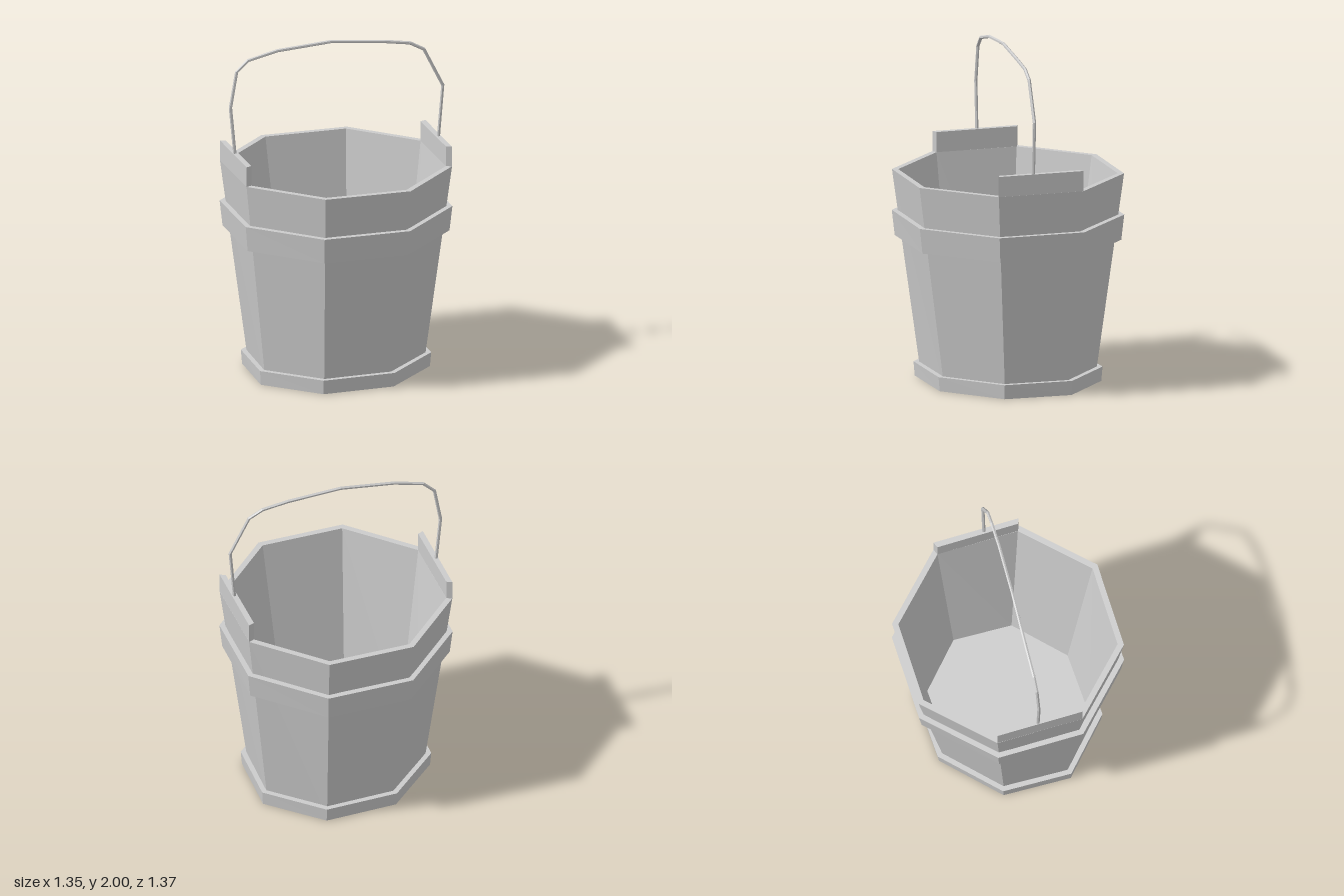
import * as THREE from 'three';

const material = new THREE.MeshStandardMaterial({ color: 0xcccccc, flatShading: true });

function addMesh(group, name, geometry) {
  const mesh = new THREE.Mesh(geometry, material);
  mesh.name = name;
  group.add(mesh);
  return mesh;
}

// Eight-sided turned part; slightly longer in z towards the bottom
function octagon(profile) {
  const geometry = new THREE.LatheGeometry(profile.map(([r, y]) => new THREE.Vector2(r, y)), 8);
  const p = geometry.attributes.position;
  for (let i = 0; i < p.count; i++) {
    const r = Math.hypot(p.getX(i), p.getZ(i));
    if (r > 0.001) p.setZ(i, p.getZ(i) * (1 + 0.05 * (1 - p.getY(i) / 1.35) / r));
  }
  geometry.computeVertexNormals();
  return geometry;
}

// Straight-segment path with mitred corners
class BentWire extends THREE.Curve {
  constructor(points) {
    super();
    this.points = points;
  }
  getPoint(t, target = new THREE.Vector3()) {
    const last = this.points.length - 1;
    const i = Math.min(Math.floor(t * last + 1e-6), last - 1);
    return target.lerpVectors(this.points[i], this.points[i + 1], t * last - i);
  }
  getPointAt(u, target) {
    return this.getPoint(u, target);
  }
  getTangentAt(u, target = new THREE.Vector3()) {
    const last = this.points.length - 1;
    const i = Math.round(u * last);
    const dir = (k) => this.points[k + 1].clone().sub(this.points[k]).normalize();
    return target.copy(dir(Math.max(i - 1, 0))).add(dir(Math.min(i, last - 1))).normalize();
  }
}

export function createModel() {
  const bucket = new THREE.Group();
  bucket.name = 'bucket';

  // Tapered wall with floor and hollow inside
  addMesh(bucket, 'body', octagon([
    [0, 0], [0.484, 0], [0.675, 1.235], [0.638, 1.235], [0.45, 0.085], [0, 0.085],
  ]));

  // Bands around the wall
  addMesh(bucket, 'footBand', octagon([[0.48, 0], [0.521, 0], [0.53, 0.085], [0.49, 0.085]]));
  addMesh(bucket, 'upperBand', octagon([[0.605, 0.84], [0.652, 0.84], [0.672, 0.99], [0.63, 0.99]]));

  // Raised staves on two opposite sides hold the handle
  const outline = new THREE.Shape([
    new THREE.Vector2(-0.478, -0.479), new THREE.Vector2(0, -0.679),
    new THREE.Vector2(0, -0.642), new THREE.Vector2(-0.453, -0.455),
  ]);
  const stave = new THREE.ExtrudeGeometry(outline, { depth: 0.12, bevelEnabled: false });
  stave.rotateX(-Math.PI / 2).translate(0, 1.235, 0);
  addMesh(bucket, 'frontStave', stave);
  addMesh(bucket, 'backStave', stave).rotation.y = Math.PI;

  // Bent wire handle
  const wire = [
    [-0.241, 1.33, 0.563], [-0.254, 1.635, 0.588], [-0.24, 1.85, 0.553], [-0.211, 1.915, 0.492],
    [-0.137, 1.96, 0.33], [0.003, 1.99, 0.04], [0.14, 1.963, -0.25], [0.202, 1.94, -0.392],
    [0.236, 1.895, -0.468], [0.284, 1.665, -0.572], [0.272, 1.33, -0.547],
  ].map((p) => new THREE.Vector3(...p));
  addMesh(bucket, 'handle', new THREE.TubeGeometry(new BentWire(wire), wire.length - 1, 0.01, 6));

  return bucket;
}
